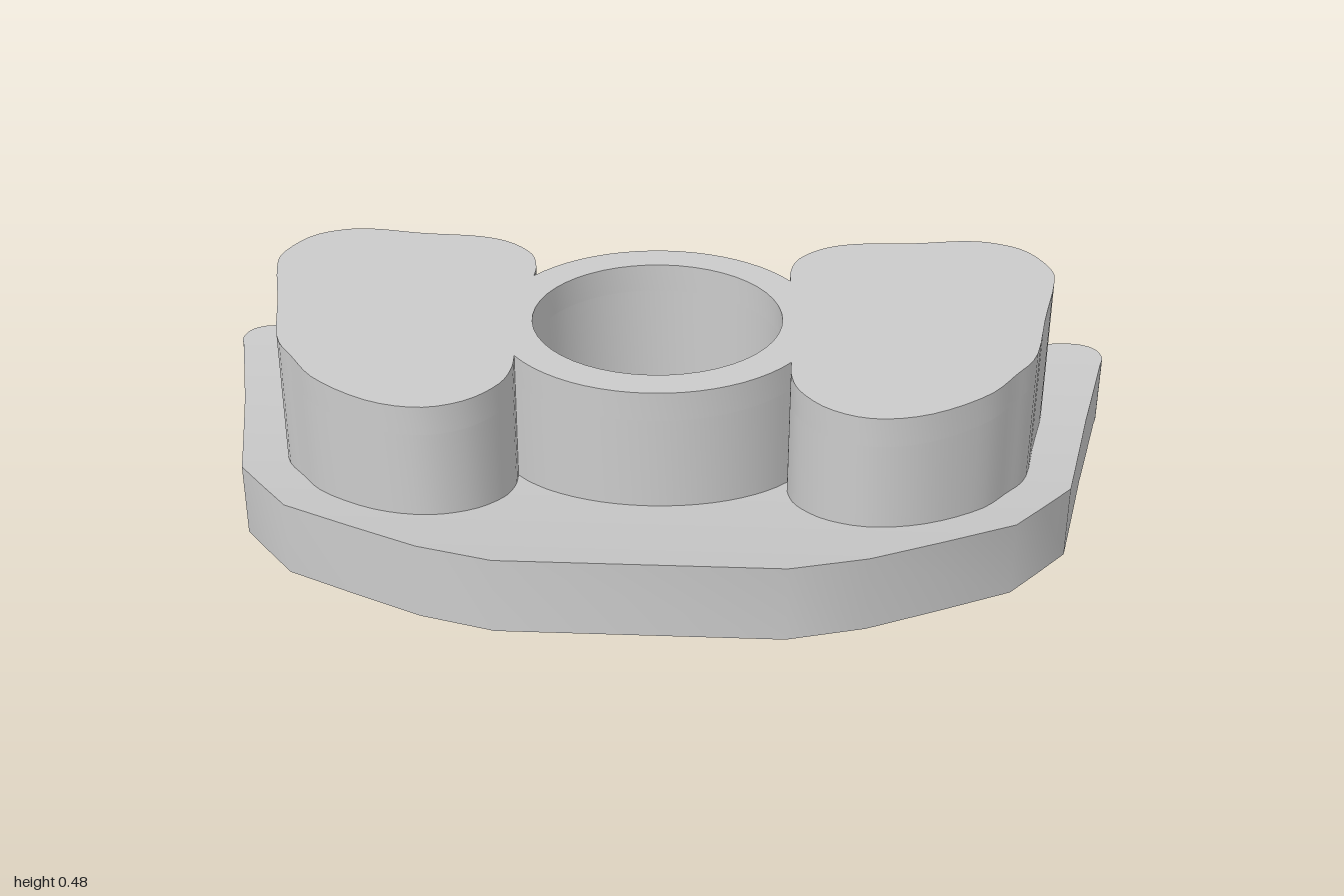
import * as THREE from 'three';
import { toCreasedNormals } from 'three/addons/utils/BufferGeometryUtils.js';

const V = (x, z) => new THREE.Vector2(x, z);
const list = (pairs) => pairs.map(([x, z]) => V(x, z));
const spline = (pairs, n) => new THREE.SplineCurve(list(pairs)).getPoints(n);
const mirror = (pts) => pts.map((p) => V(-p.x, p.y)).reverse();
const arc = (cx, cz, r, a0, a1, n) => Array.from({ length: n + 1 }, (_, i) => {
  const a = a0 + (a1 - a0) * i / n;
  return V(cx + r * Math.cos(a), cz + r * Math.sin(a));
});

// The base plate sweeps upward toward the front
const lift = (z) => 0.092 * (z + 0.605) ** 2;
const slope = (z) => 0.184 * (z + 0.605);

// Move a closed outline inward by d
function inset(pts, d) {
  const n = pts.length;
  const s = THREE.ShapeUtils.isClockWise(pts) ? -1 : 1;
  return pts.map((p, i) => {
    const t = pts[(i + 1) % n].clone().sub(pts[(i + n - 1) % n]).normalize();
    return V(p.x - t.y * d * s, p.y + t.x * d * s);
  });
}

// Extrude a clockwise plan outline from y0 up to y1; bend(y) says how far the lift applies
function slab(outline, holes, y0, y1, bend) {
  // A counter-clockwise outline lets the extrusion orient every hole wall
  const shape = new THREE.Shape([...outline].reverse());
  shape.holes = holes.map((h) => new THREE.Path(h));
  let g = new THREE.ExtrudeGeometry(shape, { depth: y1 - y0, bevelEnabled: false, steps: 1 });
  g.rotateX(Math.PI / 2).translate(0, y1, 0);
  g = toCreasedNormals(g, 0.5);
  const p = g.attributes.position, nrm = g.attributes.normal;
  const pos = [], nor = [];
  const emit = (v) => {
    const [x, y, z, nx, ny, nz] = v;
    const w = bend(y);
    pos.push(x, y + w * lift(z), z);
    const n = new THREE.Vector3(nx, ny, nz);
    if (Math.abs(ny) > 0.9) n.set(0, 1, -w * slope(z)).normalize().multiplyScalar(Math.sign(ny));
    nor.push(n.x, n.y, n.z);
  };
  // Halve edges that run far along z so the curve stays smooth
  const split = (a, b, c) => {
    const e = [[a, b, c], [b, c, a], [c, a, b]];
    e.sort((m, n) => Math.abs(n[0][2] - n[1][2]) - Math.abs(m[0][2] - m[1][2]));
    const [u, v, w] = e[0];
    if (Math.abs(u[2] - v[2]) < 0.12) return [a, b, c].forEach(emit);
    const m = u.map((k, i) => (k + v[i]) / 2);
    split(u, m, w);
    split(m, v, w);
  };
  const vert = (i) => [p.getX(i), p.getY(i), p.getZ(i), nrm.getX(i), nrm.getY(i), nrm.getZ(i)];
  for (let i = 0; i < p.count; i += 3) split(vert(i), vert(i + 1), vert(i + 2));
  const out = new THREE.BufferGeometry();
  out.setAttribute('position', new THREE.Float32BufferAttribute(pos, 3));
  out.setAttribute('normal', new THREE.Float32BufferAttribute(nor, 3));
  return out;
}

export function createModel() {
  const group = new THREE.Group();
  const grey = new THREE.MeshStandardMaterial({ color: 0xcbcbcb });
  grey.name = 'light grey';
  const add = (name, geometry) => {
    const mesh = new THREE.Mesh(geometry, grey);
    mesh.name = name;
    group.add(mesh);
  };

  // Side pod outline, front to back round the outside
  const pod = spline([
    [0.272, 0.157], [0.272, 0.215], [0.29, 0.28], [0.345, 0.347], [0.43, 0.379], [0.535, 0.354],
    [0.645, 0.274], [0.707, 0.185], [0.755, 0.1], [0.79, -0.07], [0.825, -0.23], [0.827, -0.307],
    [0.785, -0.396], [0.72, -0.437], [0.65, -0.445], [0.54, -0.427], [0.42, -0.418],
    [0.345, -0.39], [0.29, -0.332], [0.272, -0.267], [0.272, -0.217]], 72);

  // Central ring joined to both pods
  const cz = -0.03, r = 0.33;
  const a = Math.acos(0.272 / r);
  const half = [
    ...arc(0, cz, r, Math.PI / 2, a, 10).slice(1, -1),
    ...pod,
    ...arc(0, cz, r, -a, -Math.PI / 2, 10).slice(1, -1)];
  const body = [V(0, cz + r), ...half, V(0, cz - r), ...mirror(half)];
  const bore = arc(0, cz, 0.255, 0, Math.PI * 2, 48).slice(0, -1);

  // Pockets hollow the pods from below
  const pocket = inset(pod, 0.06);
  const pockets = [pocket, mirror(pocket)];

  // Base plate outline: faceted front, winged rear corners
  const side = [
    ...list([[0.27, 0.605], [0.42, 0.542], [0.71, 0.347], [0.84, 0.153], [0.92, -0.21]]),
    ...spline([[0.99, -0.5], [0.999, -0.538], [0.988, -0.579], [0.958, -0.601], [0.915, -0.605],
      [0.86, -0.595], [0.72, -0.551], [0.62, -0.519], [0.56, -0.505], [0.5, -0.498]], 36)];
  const plate = [...side, ...mirror(side)];

  const top = 0.48, ceiling = 0.42, thick = 0.155, foot = thick - 0.03;
  add('basePlate', slab(plate, pockets, 0, thick, () => 1));
  add('podAndRingWalls', slab(body, [bore, ...pockets], foot, ceiling,
    (y) => (ceiling - y) / (ceiling - foot)));
  add('podAndRingTop', slab(body, [bore], ceiling, top, () => 0));
  return group;
}
